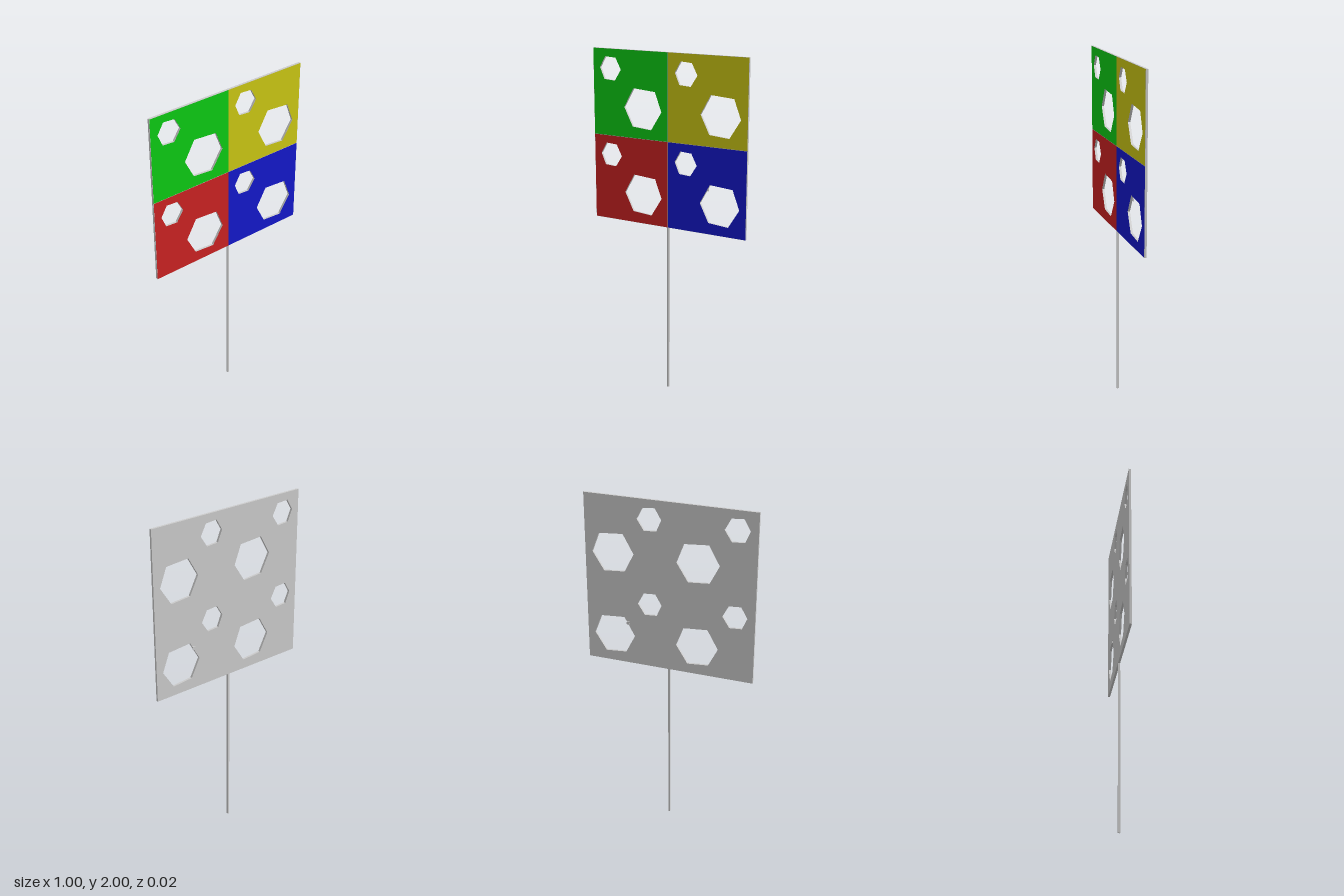
import * as THREE from 'three';

const CELL = 0.5;
const BACK = -0.0035, FRONT = 0.0095;

// Hexagonal cut-outs, measured from the lower left corner of a quarter
const HOLES = [
  [[0.209, 0.175], [0.272, 0.286], [0.415, 0.275], [0.458, 0.164], [0.389, 0.056], [0.265, 0.066]],
  [[0.045, 0.392], [0.082, 0.455], [0.153, 0.45], [0.188, 0.384], [0.146, 0.32], [0.074, 0.325]],
];

const QUARTERS = [
  { name: 'greenQuarter', x: -CELL, y: 1.5, color: 0x0ccc14 },
  { name: 'yellowQuarter', x: 0, y: 1.5, color: 0xccc814 },
  { name: 'redQuarter', x: -CELL, y: 1, color: 0xcc2222 },
  { name: 'blueQuarter', x: 0, y: 1, color: 0x1418cc },
];

function rectangle(x, y, w, h) {
  return new THREE.Shape([[x, y], [x + w, y], [x + w, y + h], [x, y + h]].map(p => new THREE.Vector2(...p)));
}

function cutHoles(shape, x, y) {
  for (const hole of HOLES) {
    shape.holes.push(new THREE.Path(hole.map(([u, v]) => new THREE.Vector2(x + u, y + v))));
  }
}

export function createModel() {
  const model = new THREE.Group();
  const grey = new THREE.MeshStandardMaterial({ color: 0xcccccc });

  function add(name, geometry, material, x = 0, y = 0, z = 0) {
    const mesh = new THREE.Mesh(geometry, material);
    mesh.name = name;
    mesh.position.set(x, y, z);
    model.add(mesh);
  }

  // Square board with all eight cut-outs
  const board = rectangle(-CELL, 1, 2 * CELL, 2 * CELL);
  for (const q of QUARTERS) cutHoles(board, q.x, q.y);
  add('board', new THREE.ExtrudeGeometry(board, { depth: FRONT - BACK, bevelEnabled: false }), grey, 0, 0, BACK);

  // Coloured faces, leaving a hairline seam between the quarters
  const seam = 0.001;
  for (const q of QUARTERS) {
    const face = rectangle(q.x + seam, q.y + seam, CELL - 2 * seam, CELL - 2 * seam);
    cutHoles(face, q.x, q.y);
    add(q.name, new THREE.ShapeGeometry(face), new THREE.MeshStandardMaterial({ color: q.color }), 0, 0, FRONT + 0.0005);
  }

  // Thin post
  add('post', new THREE.BoxGeometry(0.01, 1, FRONT - BACK), grey, 0, 0.5, (FRONT + BACK) / 2);

  // Small stud on the back
  add('stud', new THREE.BoxGeometry(0.016, 0.016, 0.0065), grey, 0.248, 1.253, BACK - 0.00325);

  return model;
}
